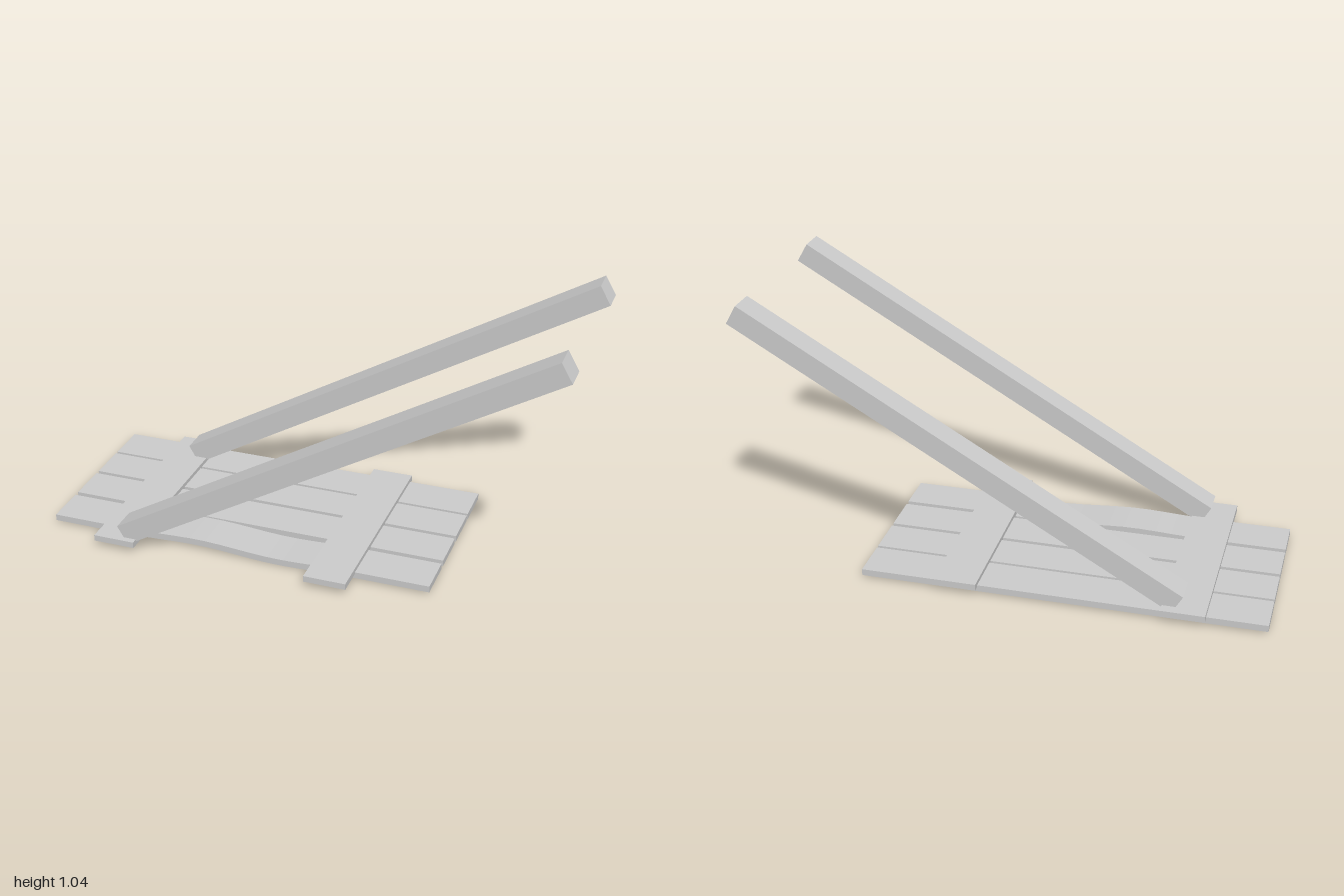
import * as THREE from 'three';

const material = new THREE.MeshStandardMaterial({ color: 0xcccccc, flatShading: true });

function board(name, size, position, segments = 1) {
  const mesh = new THREE.Mesh(new THREE.BoxGeometry(...size, segments, 1, 1), material);
  mesh.name = name;
  mesh.position.set(...position);
  return mesh;
}

export function createModel() {
  const group = new THREE.Group();
  group.name = 'plankPlatform';

  // Four long planks lying side by side
  const planks = [[-0.4, -0.233], [-0.22, -0.058], [-0.04, 0.125], [0.147, 0.31]].map(([z0, z1], i) =>
    board('plank' + (i + 1), [1.52, 0.025, z1 - z0], [-0.24, 0.0215, (z0 + z1) / 2], i === 3 ? 24 : 1));
  group.add(...planks);

  // The front plank is warped: a gentle rise, then a shallow sag
  const warped = planks[3].geometry;
  const p = warped.attributes.position;
  const hump = (x, centre, width) => Math.exp(-(((x - centre) / width) ** 2));
  for (let i = 0; i < p.count; i++) {
    const x = p.getX(i) - 0.24;
    p.setY(i, p.getY(i) + 0.01 * hump(x, -0.4, 0.17) - 0.009 * hump(x, -0.07, 0.17));
  }
  warped.computeVertexNormals();

  // Two battens across the planks
  for (const [name, x] of [['rightBatten', -0.695], ['leftBatten', 0.153]])
    group.add(board(name, [0.163, 0.024, 0.845], [x, 0.038, -0.002]));

  // Two sloping beams rising from the right batten
  for (const [name, z] of [['frontBeam', 0.344], ['backBeam', -0.333]]) {
    const beam = board(name, [1.897, 0.082, 0.105], [0.153, 0.532, z]);
    beam.rotation.z = Math.PI / 6;
    group.add(beam);
  }
  return group;
}
